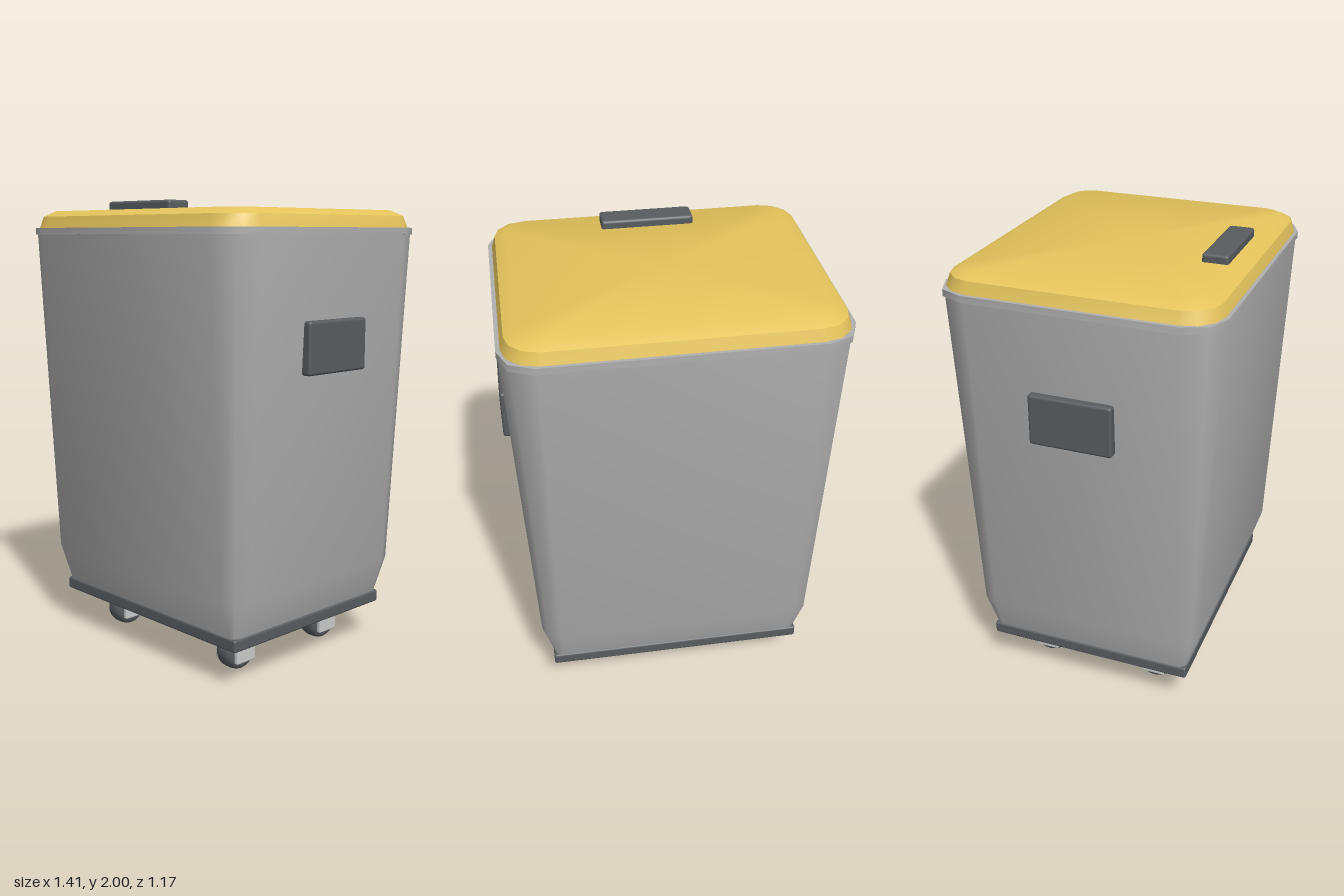
import * as THREE from 'three';
import { toCreasedNormals } from 'three/addons/utils/BufferGeometryUtils.js';
import { RoundedBoxGeometry } from 'three/addons/geometries/RoundedBoxGeometry.js';

const grey = new THREE.MeshStandardMaterial({ color: 0xcccccc });
const shellGrey = new THREE.MeshStandardMaterial({ color: 0xb0b0b0 });
const yellow = new THREE.MeshStandardMaterial({ color: 0xe4c45c });
const dark = new THREE.MeshStandardMaterial({ color: 0x585c60 });

// Rounded-rectangle outline, counter-clockwise seen from below
function outline([y, hx, hz, r], seg) {
  const pts = [];
  const corners = [[1, 1], [-1, 1], [-1, -1], [1, -1]];
  corners.forEach(([sx, sz], c) => {
    for (let i = 0; i <= seg; i++) {
      const a = (c + i / seg) * Math.PI / 2;
      pts.push([sx * (hx - r) + r * Math.cos(a), y, sz * (hz - r) + r * Math.sin(a)]);
    }
  });
  return pts;
}

// Skin stacked outlines [y, halfX, halfZ, cornerRadius] and close both ends
function loft(sections, seg, crease) {
  const rings = sections.map((s) => outline(s, seg));
  const n = rings[0].length;
  const verts = rings.flat();
  const bottom = verts.push([0, sections[0][0], 0]) - 1;
  const top = verts.push([0, sections.at(-1)[0], 0]) - 1;
  const last = (rings.length - 1) * n;
  const index = [];
  for (let i = 0; i < n; i++) {
    const j = (i + 1) % n;
    for (let k = 0; k < last; k += n) {
      index.push(k + i, k + n + i, k + j, k + j, k + n + i, k + n + j);
    }
    index.push(bottom, i, j, top, last + j, last + i);
  }
  const g = new THREE.BufferGeometry();
  g.setAttribute('position', new THREE.Float32BufferAttribute(verts.flat(), 3));
  g.setIndex(index);
  return toCreasedNormals(g, THREE.MathUtils.degToRad(crease));
}

function add(parent, name, geometry, material, x = 0, y = 0, z = 0) {
  const m = new THREE.Mesh(geometry, material);
  m.name = name;
  m.position.set(x, y, z);
  parent.add(m);
  return m;
}

const rbox = (w, h, d, r) => new RoundedBoxGeometry(w, h, d, 2, r);

// Tyre with rounded shoulders, axle along x
function tyreGeometry() {
  const profile = [
    [0, -0.046], [0.06, -0.046], [0.073, -0.043], [0.081, -0.033], [0.085, -0.018],
    [0.085, 0.018], [0.081, 0.033], [0.073, 0.043], [0.06, 0.046], [0, 0.046],
  ].map(([r, h]) => new THREE.Vector2(r, h));
  return toCreasedNormals(new THREE.LatheGeometry(profile, 24).rotateZ(Math.PI / 2), 0.7);
}

function makeCaster(tyre) {
  const caster = new THREE.Group();
  caster.name = 'caster';
  add(caster, 'wheel', tyre, dark, 0, 0.085, 0);
  // Fork: two cheeks with wider shoulders
  for (const s of [-1, 1]) {
    add(caster, 'forkCheek', rbox(0.022, 0.13, 0.11, 0.006), grey, s * 0.056, 0.105, 0);
    add(caster, 'forkShoulder', rbox(0.018, 0.045, 0.15, 0.006), grey, s * 0.055, 0.142, 0);
  }
  add(caster, 'forkCrown', rbox(0.13, 0.02, 0.1, 0.006), grey, 0, 0.168, 0);
  return caster;
}

export function createModel() {
  const bin = new THREE.Group();
  bin.name = 'wheeledBin';

  // Tapered shell, corners tightening towards the bottom
  add(bin, 'body', loft([
    [0.22, 0.57, 0.462, 0.03],
    [0.39, 0.622, 0.514, 0.08],
    [1.87, 0.69, 0.578, 0.14],
  ], 2, 50), shellGrey);
  add(bin, 'rim', loft([
    [1.862, 0.695, 0.585, 0.14],
    [1.89, 0.695, 0.585, 0.14],
  ], 2, 50), shellGrey);

  // Lid with a bevelled, softly shaded top
  add(bin, 'lid', loft([
    [1.885, 0.68, 0.572, 0.14],
    [1.94, 0.662, 0.555, 0.13],
    [1.965, 0.61, 0.503, 0.09],
  ], 3, 38), yellow);
  add(bin, 'lidHandle', rbox(0.4, 0.06, 0.11, 0.012), dark, 0, 1.97, 0.42);

  // Side grips
  for (const s of [-1, 1]) {
    add(bin, s > 0 ? 'leftGrip' : 'rightGrip', rbox(0.09, 0.22, 0.355, 0.012), dark, s * 0.66, 1.41, 0);
  }

  // Base plate and casters
  add(bin, 'basePlate', rbox(1.155, 0.055, 0.935, 0.01), dark, 0, 0.199, 0);
  const tyre = tyreGeometry();
  for (const x of [-0.38, 0.38]) {
    for (const z of [-0.268, 0.268]) {
      const caster = makeCaster(tyre);
      caster.position.set(x, 0, z);
      bin.add(caster);
    }
  }
  return bin;
}
